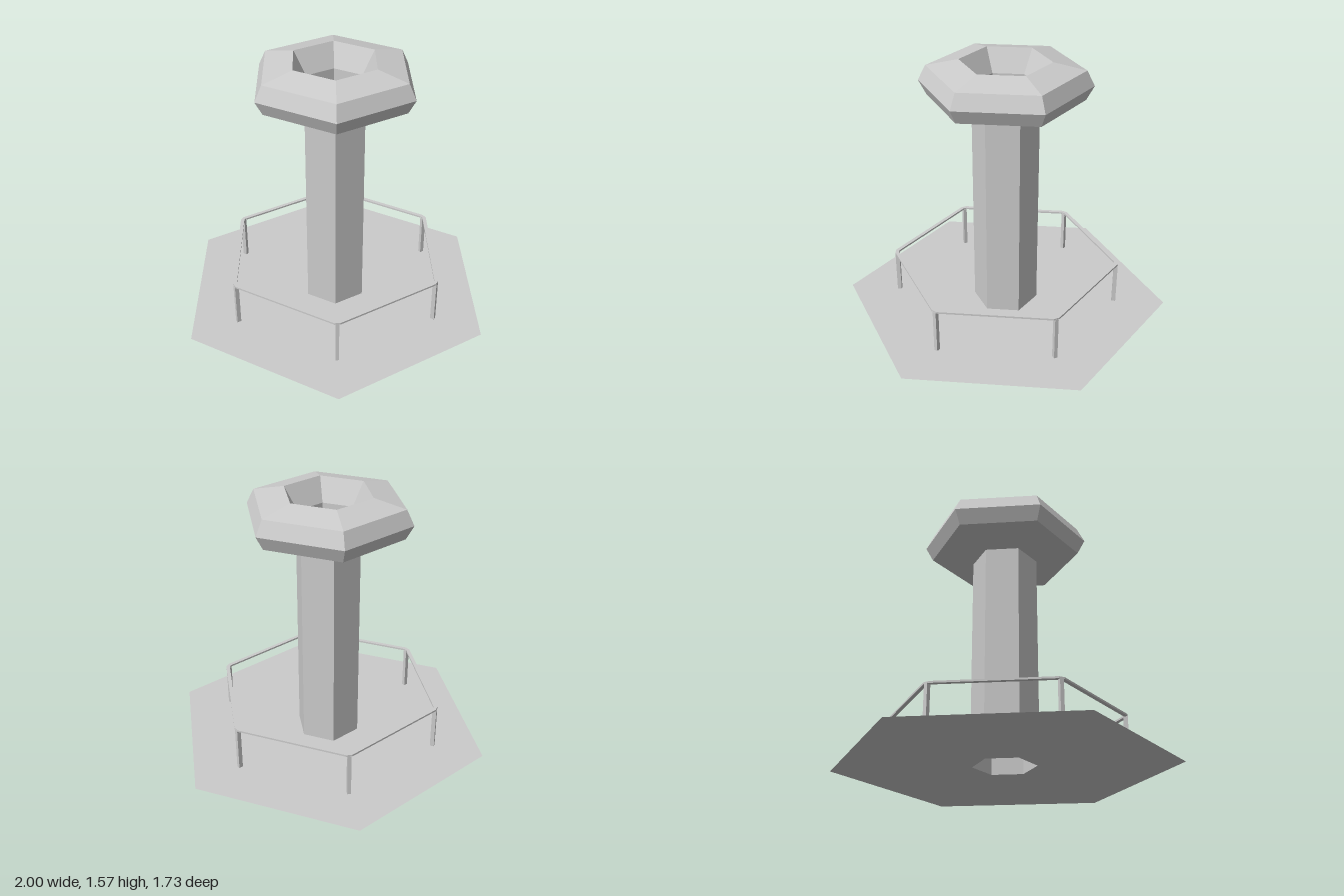
import * as THREE from 'three';

const material = new THREE.MeshStandardMaterial({
  color: 0xcccccc, flatShading: true, side: THREE.DoubleSide,
});

function add(parent, name, geometry) {
  const mesh = new THREE.Mesh(geometry, material);
  mesh.name = name;
  parent.add(mesh);
  return mesh;
}

// Hexagon corners with one corner on +x
function hexagon(radius) {
  return Array.from({ length: 6 }, (_, i) => new THREE.Vector2(
    radius * Math.cos(i * Math.PI / 3), radius * Math.sin(i * Math.PI / 3)));
}

// Hexagon with each corner cut off, the cut being "cut" short of the corner
function cutHexagon(radius, cut) {
  const points = [];
  const half = cut * Math.sqrt(3);
  for (let i = 0; i < 6; i++) {
    for (const side of [-half, half]) {
      points.push(new THREE.Vector2(radius - cut, side)
        .rotateAround(new THREE.Vector2(), i * Math.PI / 3));
    }
  }
  return points;
}

// Six-sided solid of revolution from [radius, height] pairs
function hexLathe(profile) {
  return new THREE.LatheGeometry(
    profile.map(([r, y]) => new THREE.Vector2(r, y)), 6, Math.PI / 2);
}

export function createModel() {
  const model = new THREE.Group();
  model.name = 'tower';

  // Thin ground plate, open under the hollow column
  const plateShape = new THREE.Shape(hexagon(1));
  plateShape.holes.push(new THREE.Path(hexagon(0.197)));
  add(model, 'groundPlate', new THREE.ShapeGeometry(plateShape).rotateX(-Math.PI / 2));

  // Hollow column
  add(model, 'column', hexLathe([
    [0.185, 1.31], [0.185, 0], [0.197, 0], [0.197, 1.31],
  ]));

  // Faceted crown with a funnel mouth
  add(model, 'crown', hexLathe([
    [0.197, 1.31], [0.455, 1.355], [0.5, 1.44], [0.455, 1.53],
    [0.265, 1.572], [0.185, 1.435], [0.185, 1.31],
  ]));

  // Railing: a post at each corner and a flat handrail
  const railing = new THREE.Group();
  railing.name = 'railing';
  model.add(railing);
  for (let i = 0; i < 6; i++) {
    const angle = i * Math.PI / 3;
    const post = add(railing, 'railPost', new THREE.BoxGeometry(0.025, 0.272, 0.022));
    post.position.set(0.686 * Math.cos(angle), 0.136, 0.686 * Math.sin(angle));
    post.rotation.y = -angle;
  }
  const railShape = new THREE.Shape(cutHexagon(0.707, 0.01));
  railShape.holes.push(new THREE.Path(cutHexagon(0.681, 0.005)));
  const rail = new THREE.ExtrudeGeometry(railShape, { depth: 0.011, bevelEnabled: false });
  add(railing, 'handrail', rail.rotateX(-Math.PI / 2).translate(0, 0.27, 0));

  return model;
}
